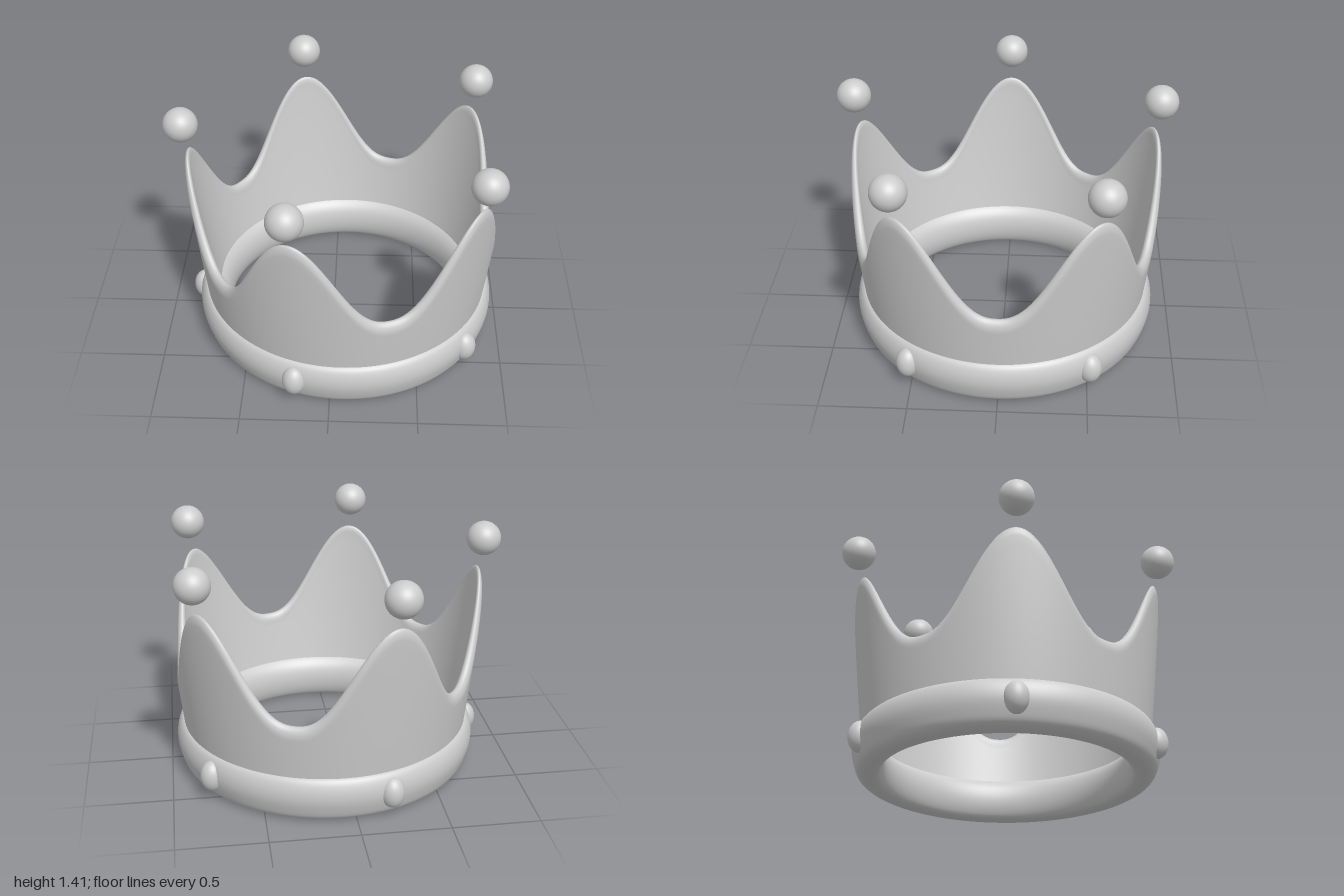
import * as THREE from 'three';

const CENTER_X = 0.07;
const BASE_Y = 0.2;

// Crown wall: swept cross-section whose height waves between five peaks and valleys
function wallGeometry() {
  const cols = 240, side = 18, cap = 10;
  const outerR = y => 0.838 + 0.118 * (y - BASE_Y) - 0.016 * (y - BASE_Y) ** 2;
  const innerR = y => 0.75 + 0.2 * (y - BASE_Y) - 0.04 * (y - BASE_Y) ** 2;
  const pos = [], index = [];
  let rows = 0;
  for (let i = 0; i < cols; i++) {
    const a = i / cols * Math.PI * 2;
    const wave = (1 - Math.cos(5 * a)) / 2;
    const top = 0.58 + 0.56 * Math.pow(wave, 1.25);
    const round = 0.06, shoulder = top - round;
    const section = [];
    for (let k = 0; k < side; k++) {
      const y = BASE_Y + (shoulder - BASE_Y) * k / side;
      section.push([outerR(y), y]);
    }
    // rounded rim
    const ro = outerR(shoulder), ri = innerR(shoulder);
    for (let k = 0; k <= cap; k++) {
      const t = k / cap * Math.PI;
      section.push([(ro + ri) / 2 + (ro - ri) / 2 * Math.cos(t), shoulder + round * Math.sin(t)]);
    }
    for (let k = side - 1; k >= 0; k--) {
      const y = BASE_Y + (shoulder - BASE_Y) * k / side;
      section.push([innerR(y), y]);
    }
    rows = section.length;
    for (const [r, y] of section) pos.push(r * Math.cos(a), y, r * Math.sin(a));
  }
  for (let i = 0; i < cols; i++) {
    const n = (i + 1) % cols;
    for (let j = 0; j < rows - 1; j++) {
      const a = i * rows + j, b = n * rows + j;
      index.push(a, a + 1, b, a + 1, b + 1, b);
    }
  }
  const geo = new THREE.BufferGeometry();
  geo.setAttribute('position', new THREE.Float32BufferAttribute(pos, 3));
  geo.setIndex(index);
  geo.computeVertexNormals();
  return geo;
}

// Base band: rounded closed profile turned around the axis
function bandGeometry() {
  const profile = [
    [0.775, 0], [0.815, 0.002], [0.852, 0.025], [0.876, 0.08], [0.89, 0.15],
    [0.882, 0.215], [0.856, 0.262], [0.81, 0.275], [0.762, 0.262],
    [0.72, 0.215], [0.70, 0.14], [0.708, 0.06], [0.735, 0.01],
  ].map(([r, y]) => new THREE.Vector3(r, y, 0));
  const curve = new THREE.CatmullRomCurve3(profile, true);
  const points = curve.getPoints(64).map(p => new THREE.Vector2(p.x, Math.max(0, p.y)));
  return new THREE.LatheGeometry(points, 128);
}

export function createModel() {
  const crown = new THREE.Group();
  crown.name = 'crown';
  const silver = new THREE.MeshStandardMaterial({ color: 0xcccccc });
  silver.name = 'silver grey';

  const add = (name, geo) => {
    const mesh = new THREE.Mesh(geo, silver);
    mesh.name = name;
    mesh.position.x = CENTER_X;
    crown.add(mesh);
    return mesh;
  };

  add('crownWall', wallGeometry());
  add('baseBand', bandGeometry());

  // One floating ball and one oval gem for each peak
  const ballGeo = new THREE.SphereGeometry(0.1, 40, 24);
  const gemGeo = new THREE.SphereGeometry(1, 32, 20);
  for (let k = 0; k < 5; k++) {
    const a = (36 + 72 * k) * Math.PI / 180;
    const c = Math.cos(a), s = Math.sin(a);

    const ball = add('peakBall' + (k + 1), ballGeo);
    ball.position.set(CENTER_X + 0.942 * c, 1.31, 0.942 * s);

    const gem = add('bandGem' + (k + 1), gemGeo);
    gem.scale.set(0.068, 0.092, 0.068);
    gem.rotation.y = -a;
    gem.position.set(CENTER_X + 0.872 * c, 0.15, 0.872 * s);
  }
  return crown;
}
